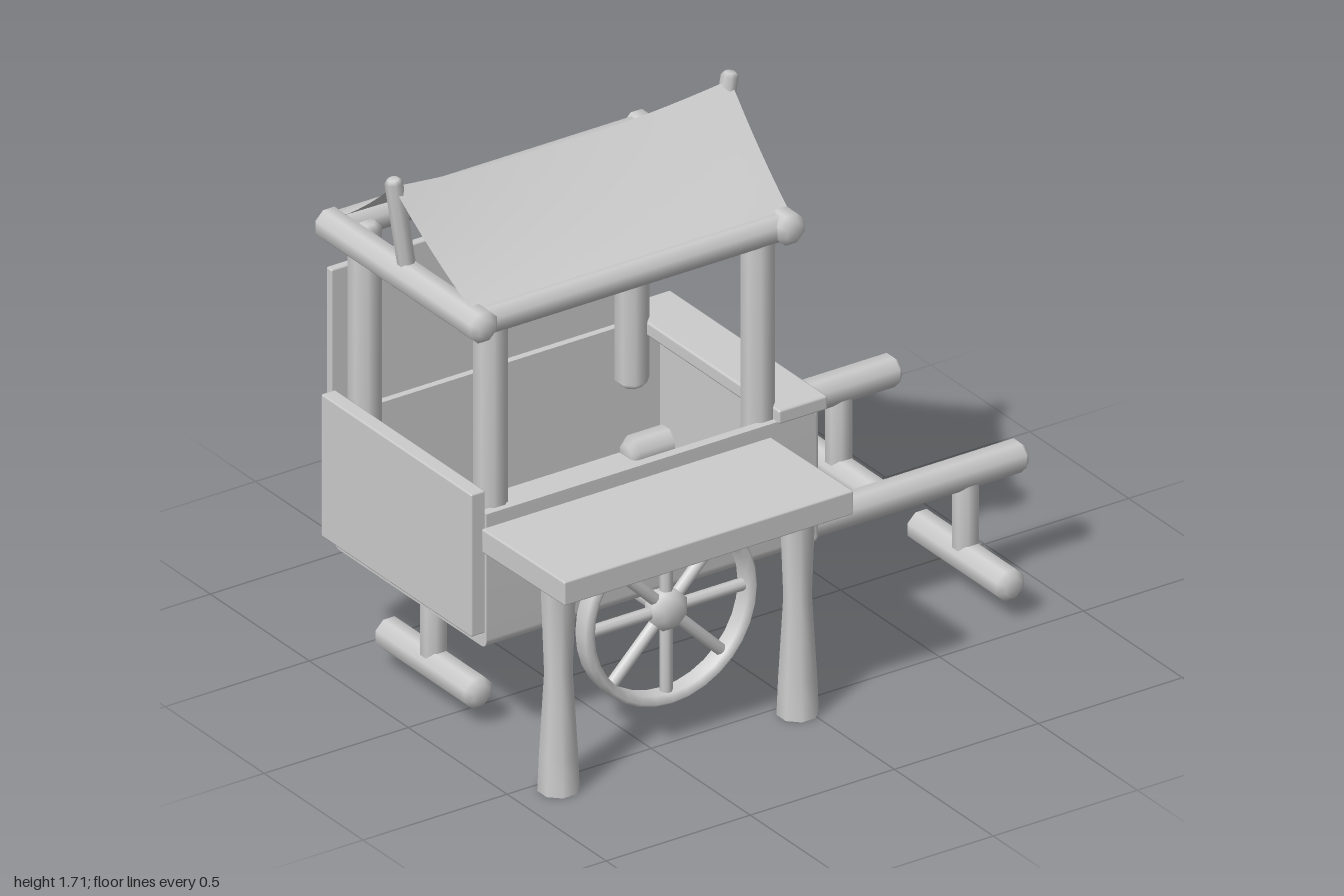
import * as THREE from 'three';
import { toCreasedNormals } from 'three/addons/utils/BufferGeometryUtils.js';
import { RoundedBoxGeometry } from 'three/addons/geometries/RoundedBoxGeometry.js';

const grey = new THREE.MeshStandardMaterial({ color: 0xcccccc });
const cloth = new THREE.MeshStandardMaterial({ color: 0xcccccc, side: THREE.DoubleSide });
const MID_Z = -0.12;

export function createModel() {
  const model = new THREE.Group();

  const add = (name, geo, parent = model, mat = grey) => {
    const mesh = new THREE.Mesh(geo, mat);
    mesh.name = name;
    parent.add(mesh);
    return mesh;
  };

  // eight-sided beam with chamfered ends, running between two points
  const beam = (name, a, b, r, parent = model) => {
    const from = new THREE.Vector3(...a), to = new THREE.Vector3(...b);
    const h = from.distanceTo(to) / 2, R = r / Math.cos(Math.PI / 8), c = R * 0.4;
    const profile = [[0, -h], [R - c, -h], [R, c - h], [R, h - c], [R - c, h], [0, h]]
      .map(p => new THREE.Vector2(...p));
    const mesh = add(name, new THREE.LatheGeometry(profile, 8, Math.PI / 8), parent);
    mesh.position.copy(from).add(to).multiplyScalar(0.5);
    mesh.quaternion.setFromUnitVectors(new THREE.Vector3(0, 1, 0), to.sub(from).normalize());
    return mesh;
  };

  // board given by its minimum and maximum corners
  const board = (name, [x0, y0, z0], [x1, y1, z1], bevel = 0.006) => {
    const mesh = add(name, new RoundedBoxGeometry(x1 - x0, y1 - y0, z1 - z0, 1, bevel));
    mesh.position.set((x0 + x1) / 2, (y0 + y1) / 2, (z0 + z1) / 2);
    return mesh;
  };

  // open tub: U-shaped section swept along x, closed at both ends
  const section = new THREE.Shape();
  const w = 0.385, t = 0.03, r = 0.03, top = 0.775, bottom = 0.34;
  section.moveTo(-w, top);
  section.lineTo(-w, bottom + r);
  section.quadraticCurveTo(-w, bottom, -w + r, bottom);
  section.lineTo(w - r, bottom);
  section.quadraticCurveTo(w, bottom, w, bottom + r);
  section.lineTo(w, top);
  section.lineTo(w - t, top);
  section.lineTo(w - t, bottom + t);
  section.lineTo(-w + t, bottom + t);
  section.lineTo(-w + t, top);
  section.closePath();
  const tub = new THREE.ExtrudeGeometry(section, { depth: 1.14, bevelEnabled: false, curveSegments: 5 });
  tub.rotateY(Math.PI / 2).translate(-0.91, 0, MID_Z);
  add('tub', toCreasedNormals(tub, 0.6));
  board('tubEndWall', [0.2, 0.34, -0.505], [0.25, 0.775, 0.265], 0.02);
  board('tubTailPanel', [-0.96, 0.39, -0.5], [-0.91, 0.85, 0.26]);
  board('backPanel', [-0.925, 0.74, -0.525], [0.07, 1.24, -0.497]);
  board('endShelf', [0.1, 0.767, -0.525], [0.27, 0.813, 0.272], 0.008);

  // serving counter and its waisted legs
  const counter = board('counter', [-0.925, 0.658, 0.26], [0.08, 0.735, 0.68]);
  counter.rotation.x = -0.015;
  const legProfile = [[0, 0], [0.062, 0], [0.057, 0.12], [0.042, 0.38], [0.052, 0.66], [0, 0.66]]
    .map(p => new THREE.Vector2(...p));
  for (const x of [-0.86, -0.03]) {
    const leg = toCreasedNormals(new THREE.LatheGeometry(legProfile, 8, Math.PI / 8), 0.9);
    add('counterLeg', leg).position.set(x, 0, 0.555);
  }

  // roof posts and frame
  for (const x of [-0.85, 0.077])
    for (const z of [0.198, -0.438]) beam('roofPost', [x, 0.6, z], [x, 1.4, z], 0.047);
  for (const z of [0.225, -0.485]) beam('roofRail', [-0.93, 1.382, z], [0.15, 1.382, z], 0.043);
  for (const x of [-0.922, 0.145]) beam('roofEndRail', [x, 1.384, -0.535], [x, 1.384, 0.288], 0.047);

  // splayed king posts holding the ridge
  for (const s of [-1, 1])
    beam('ridgePost', [-0.385 + s * 0.535, 1.4, MID_Z], [-0.385 + s * 0.585, 1.71, MID_Z], 0.025);

  // cloth canopy sagging between the ridge posts
  const canopy = new THREE.PlaneGeometry(2, 2, 16, 16).rotateX(-Math.PI / 2);
  const p = canopy.attributes.position;
  for (let i = 0; i < p.count; i++) {
    const u = p.getX(i), v = p.getZ(i), k = 1 - Math.abs(v);
    const y = 1.425 + 0.26 * (0.8 * k + 0.2 * k * k) - 0.035 * k * (1 - u * u);
    p.setXYZ(i, -0.385 + u * (0.55 + 0.035 * k), y, MID_Z + v * 0.345);
  }
  add('canopy', toCreasedNormals(canopy, 0.9), model, cloth);

  // spoked wheels and axle
  const rimProfile = [[0.265, -0.025], [0.285, -0.04], [0.298, -0.025], [0.298, 0.025],
    [0.285, 0.04], [0.265, 0.025], [0.265, -0.025]].map(q => new THREE.Vector2(...q));
  for (const z of [0.335, -0.58]) {
    const wheel = new THREE.Group();
    wheel.name = 'wheel';
    wheel.position.set(-0.335, 0.333, z);
    model.add(wheel);
    add('rim', new THREE.LatheGeometry(rimProfile, 32).rotateX(Math.PI / 2), wheel);
    beam('hub', [0, 0, -0.045], [0, 0, 0.045], 0.06, wheel);
    for (let i = 0; i < 8; i++) {
      const a = i * Math.PI / 4, c = Math.cos(a), s = Math.sin(a);
      beam('spoke', [0.03 * c, 0.03 * s, 0], [0.275 * c, 0.275 * s, 0], 0.018, wheel);
    }
  }
  beam('axle', [-0.335, 0.333, -0.6], [-0.335, 0.333, 0.355], 0.028);

  // T-shaped stands: one under each handle, one under the tail
  const stand = (x, z, y) => {
    beam('standPost', [x, 0.1, z], [x, y, z], 0.037);
    beam('standFoot', [x, 0.108, z - 0.245], [x, 0.108, z + 0.245], 0.047);
  };
  for (const z of [0.195, -0.445]) {
    beam('handle', [0.06, 0.377, z], [1, 0.377, z], 0.047);
    stand(0.8, z, 0.39);
  }
  stand(-0.83, MID_Z, 0.36);

  return model;
}
